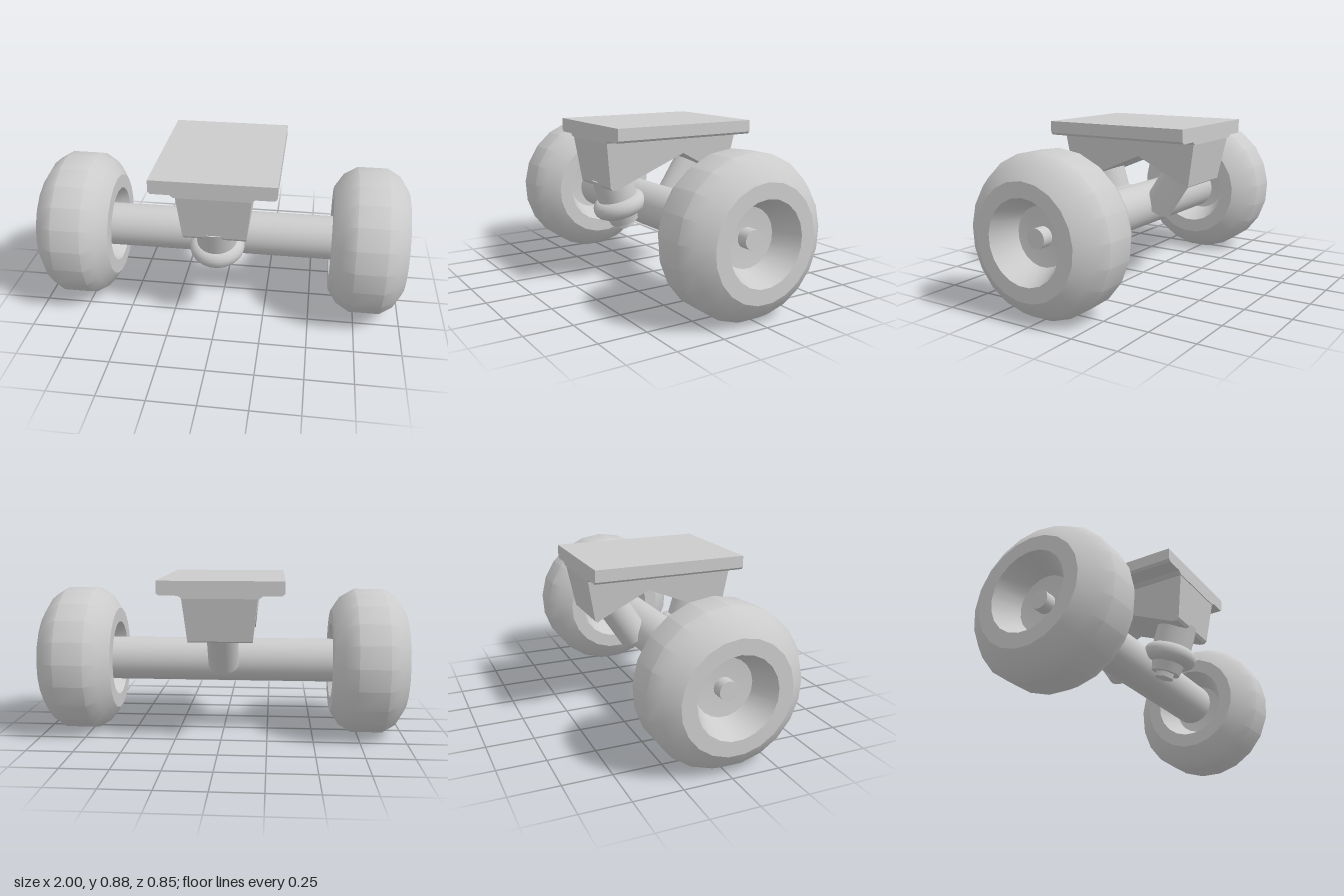
import * as THREE from 'three';
import { toCreasedNormals } from 'three/addons/utils/BufferGeometryUtils.js';

const material = new THREE.MeshStandardMaterial({ color: 0xcccccc });
const AXLE_Y = 0.408, AXLE_Z = 0.017;

function add(parent, name, geometry, x = 0, y = 0, z = 0) {
  const mesh = new THREE.Mesh(geometry, material);
  mesh.name = name;
  mesh.position.set(x, y, z);
  parent.add(mesh);
  return mesh;
}

const points = (list) => list.map(([a, b]) => new THREE.Vector2(a, b));

// Wheel: a lathe mirrored about its middle plane, dished on both faces
function wheelGeometry() {
  const half = [[0.405, 0.08], [0.363, 0.15], [0.287, 0.2], [0.21, 0.2], [0.15, 0.06], [0, 0.045]];
  const lower = half.map(([r, h]) => [r, -h]).reverse();
  const geometry = new THREE.LatheGeometry(points([...lower, ...half]), 21, -Math.PI / 2);
  geometry.rotateZ(-Math.PI / 2);
  return toCreasedNormals(geometry, 0.56);
}

// Mounting plate: front outline with chamfered lower edges, run along z
function plateGeometry() {
  const right = [[0.325, 0.888], [0.325, 0.825], [0.312, 0.813], [0.215, 0.813], [0.195, 0.798]];
  const left = right.map(([x, y]) => [-x, y]).reverse();
  const geometry = new THREE.ExtrudeGeometry(new THREE.Shape(points([...right, ...left])),
    { depth: 0.825, bevelEnabled: false });
  return geometry.translate(-0.01, 0, -0.425);
}

// Base block: side outline with a notched underside, narrowing downwards
function baseGeometry() {
  const side = [[0.398, 0.82], [0.362, 0.56], [0.35, 0.545], [0.32, 0.548], [-0.08, 0.715],
    [-0.345, 0.577], [-0.362, 0.565], [-0.376, 0.573], [-0.423, 0.82]];
  const geometry = new THREE.ExtrudeGeometry(new THREE.Shape(points(side)),
    { depth: 0.39, bevelEnabled: false });
  geometry.translate(0, 0, -0.195).rotateY(-Math.PI / 2);
  const p = geometry.attributes.position;
  for (let i = 0; i < p.count; i++) {
    const taper = 1 - 0.15 * (0.82 - p.getY(i)) / 0.275;
    p.setX(i, p.getX(i) * taper - 0.005);
  }
  geometry.computeVertexNormals();
  return geometry;
}

export function createModel() {
  const model = new THREE.Group();
  model.name = 'wheelTruck';

  add(model, 'mountingPlate', plateGeometry());
  add(model, 'baseBlock', baseGeometry());

  // Hanger tube and the thinner axle through both wheels
  const hanger = new THREE.CylinderGeometry(0.121, 0.121, 1.3, 40).rotateZ(Math.PI / 2);
  add(model, 'hanger', hanger, 0, AXLE_Y, AXLE_Z);
  const axle = new THREE.CylinderGeometry(0.05, 0.05, 1.82, 20).rotateZ(Math.PI / 2);
  add(model, 'axle', axle, 0, AXLE_Y, AXLE_Z);

  const wheel = wheelGeometry();
  for (const [name, side] of [['leftWheel', 1], ['rightWheel', -1]]) {
    add(model, name, wheel, side * 0.8, AXLE_Y, AXLE_Z);
  }

  // Pivot leaning from the rear of the base down into the hanger
  const pivot = add(model, 'pivot', new THREE.CylinderGeometry(0.085, 0.085, 0.3, 28), -0.005, 0.53, -0.175);
  pivot.rotation.x = -0.58;

  // Kingpin with bushings, ring and nut, tilted forward at the top
  const kingpin = new THREE.Group();
  kingpin.name = 'kingpin';
  kingpin.position.set(-0.01, 0.43, 0.215);
  kingpin.rotation.x = 0.3;
  model.add(kingpin);
  add(kingpin, 'upperBushing', new THREE.CylinderGeometry(0.108, 0.108, 0.2, 32), 0, 0.08, 0);
  add(kingpin, 'hangerRing', new THREE.TorusGeometry(0.098, 0.05, 16, 40).rotateX(Math.PI / 2));
  add(kingpin, 'lowerBushing', new THREE.CylinderGeometry(0.1, 0.078, 0.09, 24), 0, -0.055, 0);
  add(kingpin, 'nut', new THREE.CylinderGeometry(0.055, 0.055, 0.04, 6), 0, -0.108, 0);

  return model;
}
